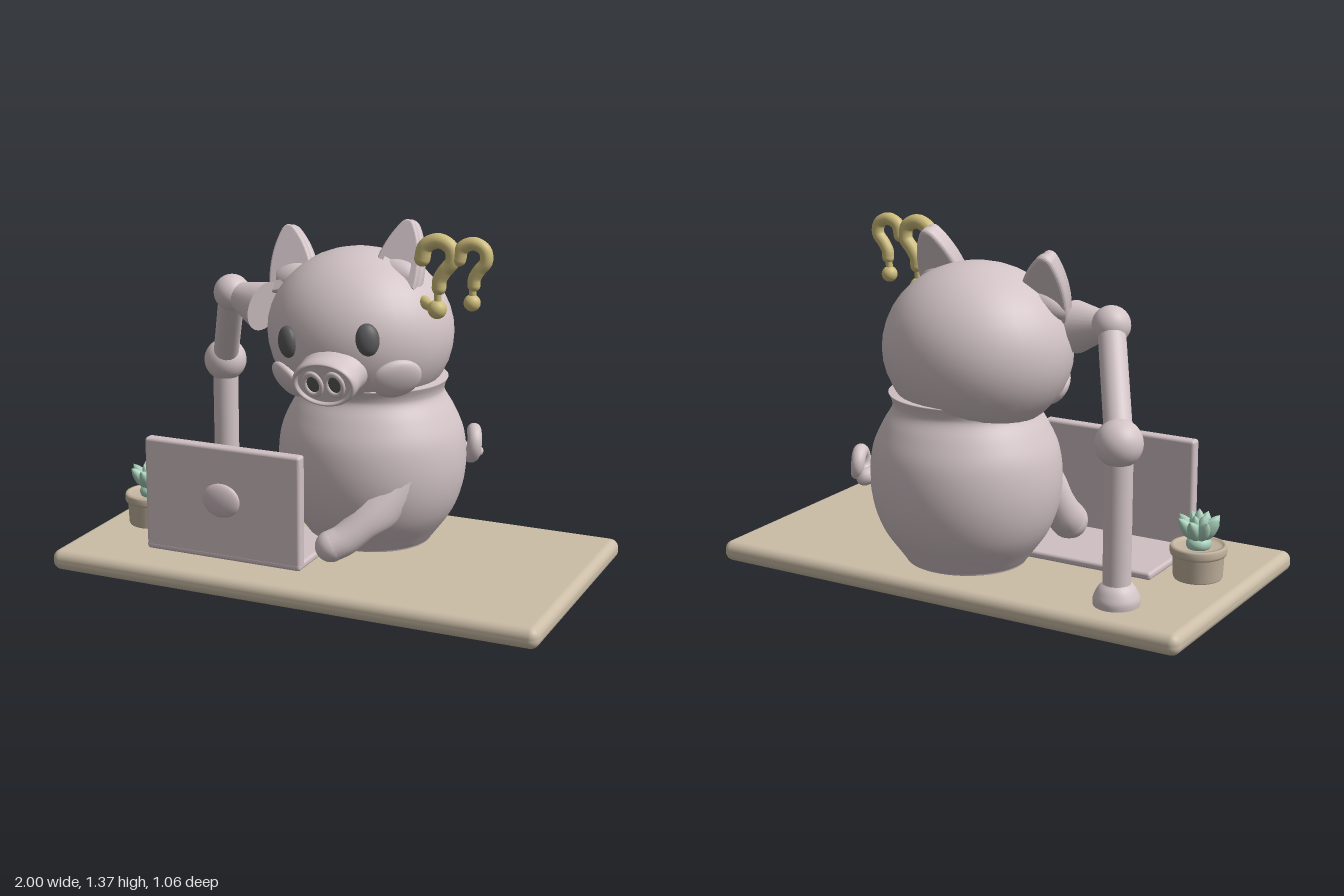
import * as THREE from 'three';
import { RoundedBoxGeometry } from 'three/addons/geometries/RoundedBoxGeometry.js';

const V = (x, y, z) => new THREE.Vector3(x, y, z);
const mat = (name, color) => {
  const m = new THREE.MeshStandardMaterial({ color });
  m.name = name;
  return m;
};

export function createModel() {
  const root = new THREE.Group();
  root.name = 'pigAtDesk';
  const pink = mat('pigPink', 0xd3c4c7);
  const shell = mat('laptopPink', 0xd0c0c4);
  const wood = mat('deskTan', 0xcbbda7);
  const clay = mat('potTan', 0xc3b49f);
  const green = mat('leafGreen', 0xa8cfba);
  const gold = mat('gold', 0xcdbc7b);
  const dark = mat('darkGrey', 0x5a5a5c);

  const add = (name, geo, m, x = 0, y = 0, z = 0, parent = root) => {
    const mesh = new THREE.Mesh(geo, m);
    mesh.name = name;
    mesh.position.set(x, y, z);
    parent.add(mesh);
    return mesh;
  };
  const ball = (name, m, p, rx, ry = rx, rz = rx, parent = root) => {
    const s = add(name, new THREE.SphereGeometry(1, 32, 20), m, p.x, p.y, p.z, parent);
    s.scale.set(rx, ry, rz);
    return s;
  };
  const lathe = (pts, seg = 48) =>
    new THREE.LatheGeometry(pts.map(p => new THREE.Vector2(...p)), seg);
  const smoothProfile = (pts, n = 40) =>
    new THREE.SplineCurve(pts.map(p => new THREE.Vector2(...p))).getPoints(n).map(p => [Math.max(p.x, 0), p.y]);
  // cylinder or cone joining two points
  const rod = (name, m, a, b, ra, rb = ra) => {
    const mid = a.clone().add(b).multiplyScalar(0.5);
    const r = add(name, new THREE.CylinderGeometry(rb, ra, a.distanceTo(b), 28), m, mid.x, mid.y, mid.z);
    r.quaternion.setFromUnitVectors(V(0, 1, 0), b.clone().sub(a).normalize());
    return r;
  };
  // tube whose radius follows a list of values, with ball ends
  const limb = (name, m, pts, radii, n = 32) => {
    const curve = new THREE.CatmullRomCurve3(pts);
    const seg = 20;
    const geo = new THREE.TubeGeometry(curve, n, 1, seg);
    const pos = geo.attributes.position;
    const p = V(0, 0, 0);
    for (let i = 0; i <= n; i++) {
      const c = curve.getPointAt(i / n);
      const f = (i / n) * (radii.length - 1);
      const k = Math.min(Math.floor(f), radii.length - 2);
      const r = THREE.MathUtils.lerp(radii[k], radii[k + 1], THREE.MathUtils.smoothstep(f - k, 0, 1));
      for (let j = 0; j <= seg; j++) {
        const q = i * (seg + 1) + j;
        p.fromBufferAttribute(pos, q).sub(c).multiplyScalar(r).add(c);
        pos.setXYZ(q, p.x, p.y, p.z);
      }
    }
    add(name, geo, m);
    ball(name + 'Start', m, pts[0], radii[0]);
    ball(name + 'End', m, pts[pts.length - 1], radii[radii.length - 1]);
  };

  // desk top
  add('desk', new RoundedBoxGeometry(2, 0.082, 1.06, 5, 0.036), wood, 0, 0.041, 0);

  // body with a flared neck
  const body = add('body', lathe([[0, 0.075], [0.225, 0.075], ...smoothProfile([
    [0.225, 0.085], [0.25, 0.12], [0.31, 0.21], [0.345, 0.31], [0.357, 0.42],
    [0.345, 0.53], [0.308, 0.62], [0.274, 0.68], [0.272, 0.71], [0.285, 0.745]]), [0, 0.78]], 64),
    pink, 0.07, 0, -0.178);
  body.scale.x = 1.05;

  // head
  const hc = V(0.022, 0.92, -0.167), hr = V(0.37, 0.328, 0.345);
  ball('head', pink, hc, hr.x, hr.y, hr.z);
  const onHead = (name, m, x, y, w, h, d, roll) => {
    const a = (x - hc.x) / hr.x, b = (y - hc.y) / hr.y, c = Math.sqrt(1 - a * a - b * b);
    const p = V(x, y, hc.z + c * hr.z);
    const o = ball(name, m, p, w, h, d);
    o.lookAt(p.clone().add(V(a / hr.x, b / hr.y, c / hr.z)));
    o.rotateZ(roll);
  };
  onHead('rightEye', dark, -0.148, 0.922, 0.045, 0.062, 0.03, 0.1);
  onHead('leftEye', dark, 0.183, 0.962, 0.045, 0.062, 0.03, 0.1);
  onHead('rightCheek', pink, -0.185, 0.752, 0.1, 0.082, 0.035, 0.1);
  onHead('leftCheek', pink, 0.268, 0.802, 0.1, 0.084, 0.035, 0.1);

  // snout with a raised rim and two nostrils
  const snout = new THREE.Group();
  snout.name = 'snout';
  snout.position.set(0.04, 0.828, 0.112);
  snout.rotation.set(0.29, 0, 0.09);
  root.add(snout);
  const muzzle = lathe([[0, -0.05], [1.06, -0.05], ...smoothProfile([
    [1.05, 0], [0.98, 0.06], [0.99, 0.1], [0.95, 0.122], [0.87, 0.125], [0.8, 0.113]], 24), [0, 0.112]]);
  muzzle.rotateX(Math.PI / 2);
  muzzle.scale(0.134, 0.097, 1);
  add('muzzle', muzzle, pink, 0, 0, 0, snout);
  for (const s of [-1, 1]) {
    const rim = add('nostrilRim', new THREE.TorusGeometry(0.034, 0.009, 10, 28), pink, s * 0.045, -0.002, 0.114, snout);
    rim.scale.y = 1.3;
    ball('nostril', dark, V(s * 0.045, -0.002, 0.113), 0.027, 0.038, 0.005, snout);
  }

  // ears: a thick back plate with a raised rim round the hollow
  const earPath = (Shape, k, dy) => {
    const s = new Shape();
    s.moveTo(-0.085 * k, -0.07 * k + dy);
    s.quadraticCurveTo(-0.085 * k, 0.07 * k + dy, -0.018 * k, 0.165 * k + dy);
    s.quadraticCurveTo(0, 0.185 * k + dy, 0.018 * k, 0.165 * k + dy);
    s.quadraticCurveTo(0.085 * k, 0.07 * k + dy, 0.085 * k, -0.07 * k + dy);
    s.closePath();
    return s;
  };
  const bevel = (depth, b) => ({ depth, bevelEnabled: true, bevelThickness: b, bevelSize: b, bevelSegments: 4, curveSegments: 12 });
  const rimShape = earPath(THREE.Shape, 1, 0);
  rimShape.holes.push(earPath(THREE.Path, 0.72, 0.015));
  for (const [name, x, y, roll] of [['rightEar', -0.245, 1.14, 0.24], ['leftEar', 0.203, 1.192, -0.1]]) {
    const ear = new THREE.Group();
    ear.name = name;
    ear.position.set(x, y, -0.118);
    ear.rotation.set(-0.4, 0, roll);
    root.add(ear);
    add('earBack', new THREE.ExtrudeGeometry(earPath(THREE.Shape, 1, 0), bevel(0.015, 0.016)), pink, 0, 0, -0.025, ear);
    add('earRim', new THREE.ExtrudeGeometry(rimShape, bevel(0.02, 0.009)), pink, 0, 0, 0.005, ear);
    const root2 = ball('earRoot', pink, V(0, -0.03, -0.02), 0.1, 0.065, 0.06, ear);
    root2.rotation.x = 0.2;
  }

  // curled tail
  const n = V(0.86, 0, -0.5), u = V(0.5, 0, 0.86);
  const tail = [V(0.36, 0.42, -0.34)];
  for (let i = 0; i <= 14; i++) {
    const a = -2.2 + i * 0.5, r = 0.056 - i * 0.0012;
    tail.push(V(0.418, 0.455, -0.372).addScaledVector(u, r * Math.cos(a))
      .addScaledVector(n, -0.01 + i * 0.0025).add(V(0, r * Math.sin(a), 0)));
  }
  limb('tail', pink, tail, [0.034, 0.031, 0.028, 0.022], 70);

  // arms reaching down to the laptop
  limb('leftArm', pink, [V(0.25, 0.4, -0.01), V(0.18, 0.26, 0.09), V(0.1, 0.17, 0.16), V(0.055, 0.145, 0.19)],
    [0.12, 0.1, 0.064, 0.062]);
  limb('rightArm', pink, [V(-0.1, 0.46, -0.02), V(-0.16, 0.32, 0.07), V(-0.19, 0.21, 0.13), V(-0.195, 0.175, 0.165)],
    [0.11, 0.085, 0.07, 0.075]);

  // jointed arm standing on the desk and propping up the head
  const elbow = V(-0.67, 0.687, -0.345), wrist = V(-0.49, 1.043, -0.068);
  add('armFoot', lathe(smoothProfile([[0.085, 0.075], [0.087, 0.105], [0.078, 0.13], [0.066, 0.15], [0.05, 0.165]], 20)),
    pink, elbow.x, 0, elbow.z);
  rod('forearm', pink, V(elbow.x, 0.08, elbow.z), elbow, 0.052);
  ball('elbow', pink, elbow, 0.088);
  rod('foreLink', pink, elbow, wrist, 0.052);
  ball('wrist', pink, wrist, 0.073);
  rod('hand', pink, wrist, V(-0.325, 1.01, -0.025), 0.042, 0.1);

  // laptop with a plain boss on the lid
  add('laptopBase', new RoundedBoxGeometry(0.664, 0.03, 0.415, 3, 0.012), shell, -0.337, 0.096, 0.137);
  add('laptopLid', new RoundedBoxGeometry(0.664, 0.448, 0.05, 3, 0.013), shell, -0.337, 0.311, 0.319);
  ball('lidBoss', shell, V(-0.337, 0.322, 0.342), 0.08, 0.068, 0.026);

  // potted succulent
  const plant = new THREE.Group();
  plant.name = 'plant';
  plant.position.set(-0.803, 0, 0.065);
  root.add(plant);
  add('pot', lathe([[0, 0.078], [0.088, 0.078], [0.094, 0.088], [0.098, 0.172], [0.105, 0.176], [0.108, 0.184],
    [0.108, 0.204], [0.104, 0.212], [0.092, 0.212], [0.088, 0.198], [0, 0.198]]), clay, 0, 0, 0, plant);
  const leafGeo = lathe(smoothProfile([[0, 0], [0.017, 0.02], [0.024, 0.055], [0.015, 0.09], [0, 0.112]], 18), 14);
  const leafRing = (count, tilt, y, scale, turn) => {
    for (let i = 0; i < count; i++) {
      const leaf = add('leaf', leafGeo, green, 0, y, 0, plant);
      leaf.rotation.order = 'YXZ';
      leaf.rotation.set(tilt, turn + (i / count) * Math.PI * 2, 0);
      leaf.scale.setScalar(scale);
    }
  };
  ball('leafHeart', green, V(0, 0.215, 0), 0.048, 0.035, 0.048, plant);
  leafRing(8, 0.72, 0.225, 1.12, 0);
  leafRing(5, 0.3, 0.235, 0.9, 0.4);
  leafRing(1, 0, 0.235, 1.05, 0);

  // two question-shaped hooks held beside the head
  const hook = (x, y, s, len) => {
    const pts = [[-0.065, 0.165], [-0.052, 0.212], [0, 0.236], [0.048, 0.212], [0.055, 0.165], [0.025, 0.125], [0.005, 0.09], [0.003, 0.06]]
      .map(([a, b]) => V(x + a * s, y + b * s, 0.032));
    limb('hook', gold, pts, [0.03 * s, 0.028 * s, 0.027 * s], 48);
    rod('hookStem', gold, V(x - 0.003, y - len, 0.032), V(x, y + 0.07, 0.032), 0.014);
    ball('hookDot', gold, V(x - 0.003, y - len, 0.032), 0.036 * s);
  };
  hook(0.42, 1.1, 1, 0.022);
  hook(0.557, 1.128, 0.88, 0.013);
  limb('hookBar', gold, [V(0.32, 1.076, -0.08), V(0.36, 1.074, -0.03), V(0.415, 1.078, 0.032)], [0.024, 0.019, 0.021]);
  rod('hookLink', gold, V(0.47, 1.275, 0.032), V(0.51, 1.275, 0.032), 0.014);

  return root;
}
